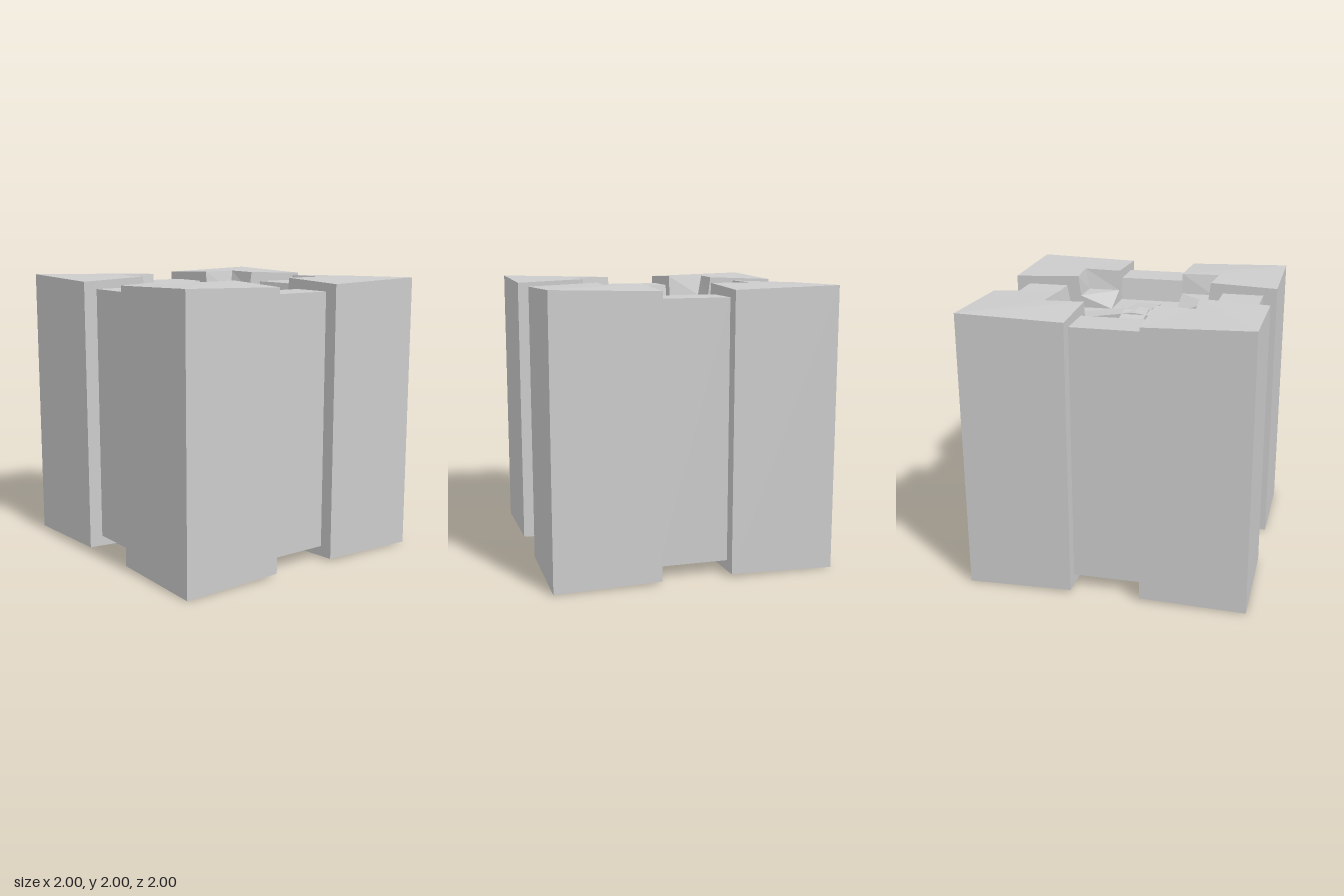
import * as THREE from 'three';

const material = new THREE.MeshStandardMaterial({ color: 0xcccccc, flatShading: true });
const openMaterial = new THREE.MeshStandardMaterial({ color: 0xcccccc, flatShading: true, side: THREE.DoubleSide });

// Flat faces given as corner loops, split as fans
function faceGeometry(faces) {
  const pos = [];
  for (const f of faces) {
    for (let i = 1; i < f.length - 1; i++) pos.push(...f[0], ...f[i], ...f[i + 1]);
  }
  const g = new THREE.BufferGeometry();
  g.setAttribute('position', new THREE.Float32BufferAttribute(pos, 3));
  g.computeVertexNormals();
  return g;
}

// Extrude a (z, y) profile across x, centred
function acrossX(profile, width) {
  const shape = new THREE.Shape(profile.map(([z, y]) => new THREE.Vector2(z, y)));
  const g = new THREE.ExtrudeGeometry(shape, { depth: width, bevelEnabled: false });
  g.translate(0, 0, -width / 2);
  g.rotateY(-Math.PI / 2);
  return g;
}

// Corner pillar: half of its faces, mirrored over the diagonal x = z
function cornerGeometry() {
  const floorY = 1.76, notchY = 1.85;
  const outer = [1, 2, 1], edge = [0.25, 1.98, 1];
  const rim = [0.25, 2, 0.51], rimCorner = [0.53, 2, 0.53];
  const low = [0.25, notchY, 0.49], lowCorner = [0.49, notchY, 0.49];
  const tip = [0.25, floorY, 0.25];
  const half = [
    [edge, outer, rimCorner, rim], // top
    [low, rim, rimCorner, lowCorner], // notch wall
    [[0.25, 0.02, 1], [1, 0, 1], outer, edge], // outer side
    [[0.25, 0.02, 1], edge, rim, low, tip, [0.25, 0.2, 0.25], [0.25, 0, 0.6]], // channel side
    [[1, 0, 1], [0.25, 0.02, 1], [0.25, 0, 0.6], [0.6, 0, 0.6]], // underside
  ];
  const mirrored = half.map((f) => f.map(([x, y, z]) => [z, y, x]).reverse());
  const notchFloor = [
    [low, lowCorner, [0.49, notchY, 0.25]],
    [low, [0.49, notchY, 0.25], tip],
  ];
  return faceGeometry([...half, ...mirrored, ...notchFloor]);
}

export function createModel() {
  const group = new THREE.Group();
  const add = (name, geometry, angle = 0, mat = material) => {
    const mesh = new THREE.Mesh(geometry, mat);
    mesh.name = name;
    mesh.rotation.y = angle;
    group.add(mesh);
    return mesh;
  };

  // Four pillars and the recessed walls between them
  const corner = cornerGeometry();
  const wall = acrossX([
    [0.9, 0.09], [0.9, 1.925], [0.6, 1.925], [0.57, 1.76], [0.25, 1.76],
    [0.25, 0.2], [0.57, 0.2], [0.6, 0], [0.74, 0.09],
  ], 0.5);
  for (let i = 0; i < 4; i++) {
    add('cornerPillar', corner, i * Math.PI / 2);
    add('recessedWall', wall, i * Math.PI / 2);
  }

  // Basin floor
  const core = new THREE.BoxGeometry(0.5, 1.56, 0.5);
  core.translate(0, 0.98, 0);
  add('basinFloor', core);

  // Raised cross, ridged at the centre
  const arm = acrossX([[-0.47, 1.755], [0.47, 1.755], [0.47, 1.762], [0, 1.83], [-0.47, 1.762]], 0.18);
  for (let i = 0; i < 2; i++) add('crossArm', arm, i * Math.PI / 2);

  // Stepped square hollow underneath
  const steps = [[0.6, 0], [0.45, 0.05], [0.32, 0.115], [0.25, 0.17], [0, 0.18]];
  const hollow = new THREE.LatheGeometry(
    steps.map(([r, y]) => new THREE.Vector2(r * Math.SQRT2, y)), 4, Math.PI / 4);
  add('baseHollow', hollow.toNonIndexed(), 0, openMaterial);

  return group;
}
